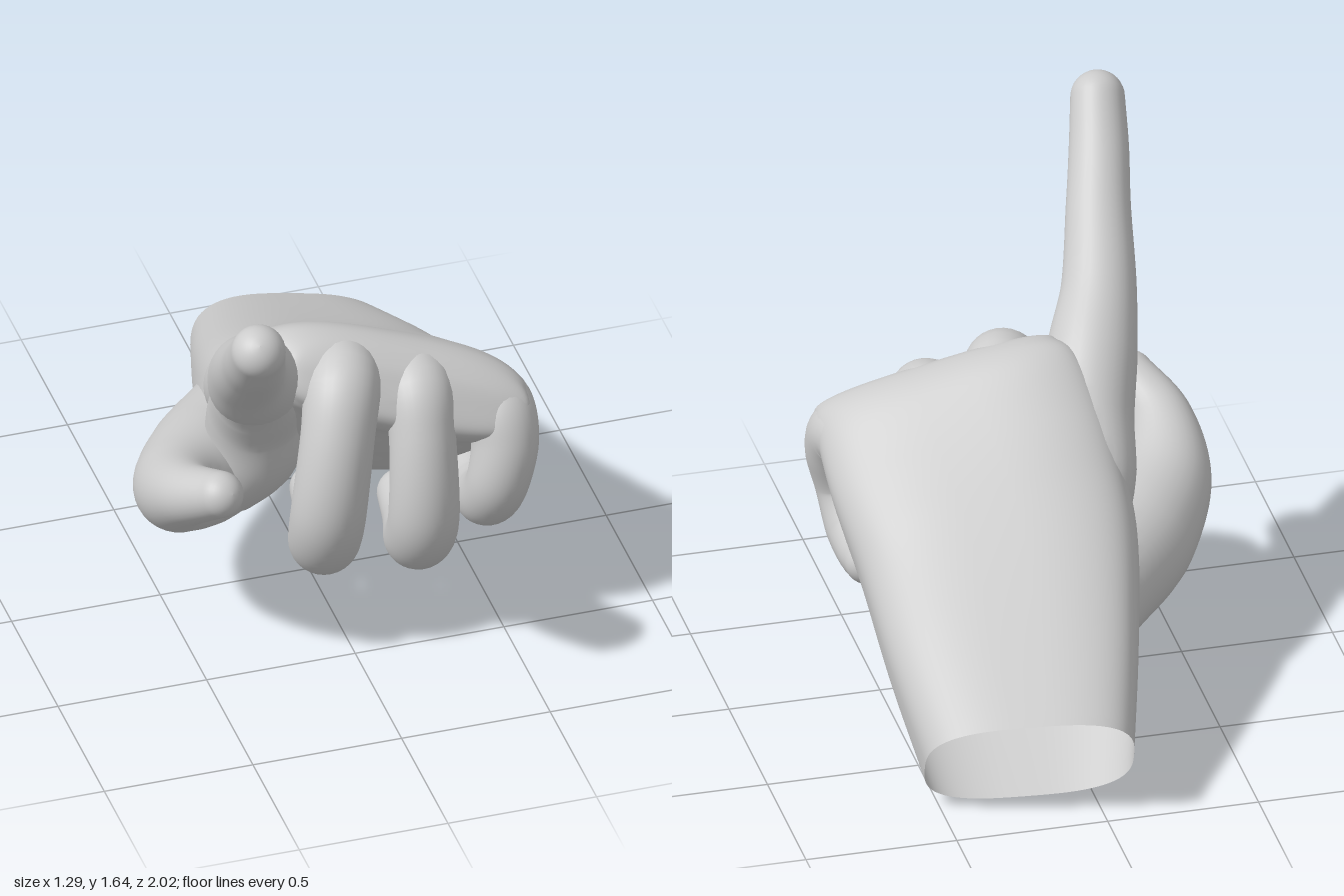
import * as THREE from 'three';

const V = (x, y, z) => new THREE.Vector3(x, y, z);
const skin = new THREE.MeshStandardMaterial({ color: 0xcccccc, side: THREE.DoubleSide });
const spline = points => new THREE.CatmullRomCurve3(points, false, 'catmullrom');

// Smooth skin over closed rings of equal point count; faces whose corners are all hidden are left out
function skinRings(name, rings, hidden = () => false) {
  const n = rings[0].length, index = [], points = rings.flat(), inside = points.map(hidden);
  for (let i = 0; i < rings.length - 1; i++) {
    for (let j = 0; j < n; j++) {
      const k = (j + 1) % n, a = i * n, b = a + n;
      if ([a + j, a + k, b + j, b + k].every(p => inside[p])) continue;
      index.push(a + j, a + k, b + k, a + j, b + k, b + j);
    }
  }
  const g = new THREE.BufferGeometry().setFromPoints(points);
  g.setIndex(index);
  g.computeVertexNormals();
  const mesh = new THREE.Mesh(g, skin);
  mesh.name = name;
  return mesh;
}

// Palm and wrist frames from rounded sections [x, y, z, halfWidth, halfDepth, roll]
const SQUARE = 0.68, ALONG = V(0, 0.48, 0.877);
function palmFrames() {
  const sections = [
    [0.23, 0.195, -0.885, 0.33, 0.21, 0.08],
    [0.185, 0.375, -0.51, 0.4, 0.22, 0.13],
    [0.145, 0.545, -0.16, 0.45, 0.235, 0.2],
    [0.165, 0.73, 0.09, 0.465, 0.2, 0.28],
    [0.19, 0.865, 0.26, 0.45, 0.168, 0.34],
    [0.21, 0.9, 0.35, 0.42, 0.14, 0.34],
    [0.215, 0.905, 0.405, 0.36, 0.085, 0.34],
    [0.215, 0.905, 0.42, 0.02, 0.01, 0.34],
  ];
  const centre = spline(sections.map(s => V(s[0], s[1], s[2])));
  const size = spline(sections.map(s => V(s[3], s[4], s[5])));
  return Array.from({ length: 71 }, (_, i) => {
    const t = i / 70, s = size.getPoint(t), u = V(1, 0, 0).applyAxisAngle(ALONG, -s.z);
    return { t, c: centre.getPoint(t), u, v: ALONG.clone().cross(u), a: s.x, b: s.y };
  });
}
const frames = palmFrames();

function palm() {
  const sides = 72, round = c => Math.sign(c) * Math.abs(c) ** SQUARE;
  return skinRings('palmAndWrist', frames.map(({ t, c, u, v, a, b }) =>
    Array.from({ length: sides }, (_, j) => {
      const q = (j / sides) * Math.PI * 2;
      const p = c.clone().addScaledVector(u, a * round(Math.cos(q))).addScaledVector(v, b * round(Math.sin(q)));
      p.z += Math.max(0, 1 - 3 * t) * 0.18 * (p.x - c.x); // slanted wrist rim
      return p;
    })));
}

// Is a point inside the palm? Keeps the hollow wrist clear of limb roots
function insidePalm(p) {
  let best = frames[0], gap = Infinity;
  for (const f of frames) {
    const d = Math.abs(p.clone().sub(f.c).dot(ALONG));
    if (d < gap) { gap = d; best = f; }
  }
  const r = p.clone().sub(best.c), n = 2 / SQUARE;
  return Math.abs(r.dot(best.u) / best.a) ** n + Math.abs(r.dot(best.v) / best.b) ** n < 1;
}

// Tapered round limb through [x, y, z, radius] stations, with a domed tip
function limb(name, stations) {
  const path = new THREE.CatmullRomCurve3(stations.map(([x, y, z]) => V(x, y, z)));
  const radius = spline(stations.map((s, i) => V(s[3], i, 0)));
  const steps = 56, sides = 32, dome = 9, rings = [];
  const { tangents, normals, binormals } = path.computeFrenetFrames(steps, false);
  const ring = (i, r, push) => {
    const c = path.getPointAt(i / steps).addScaledVector(tangents[i], push);
    rings.push(Array.from({ length: sides }, (_, j) => {
      const a = (j / sides) * Math.PI * 2;
      return c.clone().addScaledVector(normals[i], r * Math.cos(a)).addScaledVector(binormals[i], r * Math.sin(a));
    }));
  };
  for (let i = 0; i <= steps; i++) ring(i, radius.getPoint(path.getUtoTmapping(i / steps)).x, 0);
  const tip = stations.at(-1)[3];
  for (let i = 1; i <= dome; i++) {
    const a = (i / dome) * Math.PI / 2;
    ring(steps, Math.max(tip * Math.cos(a), 0.0005), tip * Math.sin(a));
  }
  return skinRings(name, rings, insidePalm);
}

export function createModel() {
  const hand = new THREE.Group();
  hand.name = 'pointingHand';
  hand.add(
    palm(),
    limb('indexFinger', [
      [-0.15, 0.6, -0.22, 0.1], [-0.19, 0.72, -0.06, 0.14], [-0.215, 0.845, 0.11, 0.152], [-0.275, 0.995, 0.28, 0.147],
      [-0.335, 1.13, 0.43, 0.123], [-0.39, 1.31, 0.65, 0.105], [-0.43, 1.44, 0.8, 0.097], [-0.455, 1.558, 0.915, 0.088],
    ]),
    limb('middleFinger', [
      [0.05, 0.93, 0.2, 0.11], [0.01, 0.95, 0.33, 0.125], [-0.035, 0.82, 0.425, 0.12], [-0.08, 0.54, 0.465, 0.122],
      [-0.065, 0.38, 0.37, 0.115], [-0.01, 0.335, 0.2, 0.095], [0.015, 0.325, 0.01, 0.08],
    ]),
    limb('ringFinger', [
      [0.26, 0.86, 0.2, 0.1], [0.26, 0.88, 0.33, 0.12], [0.25, 0.77, 0.42, 0.108], [0.24, 0.47, 0.47, 0.115],
      [0.25, 0.33, 0.37, 0.11], [0.28, 0.285, 0.2, 0.092], [0.29, 0.29, 0.07, 0.08],
    ]),
    limb('littleFinger', [
      [0.5, 0.76, 0.22, 0.1], [0.525, 0.77, 0.35, 0.116], [0.53, 0.68, 0.415, 0.11], [0.5, 0.53, 0.43, 0.102],
      [0.49, 0.42, 0.34, 0.1], [0.495, 0.39, 0.23, 0.085], [0.5, 0.395, 0.16, 0.075],
    ]),
    limb('thumb', [
      [0.02, 0.34, -0.6, 0.13], [-0.12, 0.425, -0.3, 0.185], [-0.34, 0.47, -0.03, 0.195], [-0.495, 0.555, 0.19, 0.15],
      [-0.525, 0.66, 0.38, 0.105], [-0.465, 0.745, 0.53, 0.077],
    ]),
    // Fold of skin joining the thumb to the index knuckle
    limb('thumbWeb', [
      [-0.3, 0.46, 0.0, 0.16], [-0.215, 0.58, 0.06, 0.165], [-0.215, 0.74, 0.11, 0.155],
      [-0.235, 0.87, 0.19, 0.145], [-0.28, 0.985, 0.29, 0.12],
    ]),
  );
  return hand;
}
